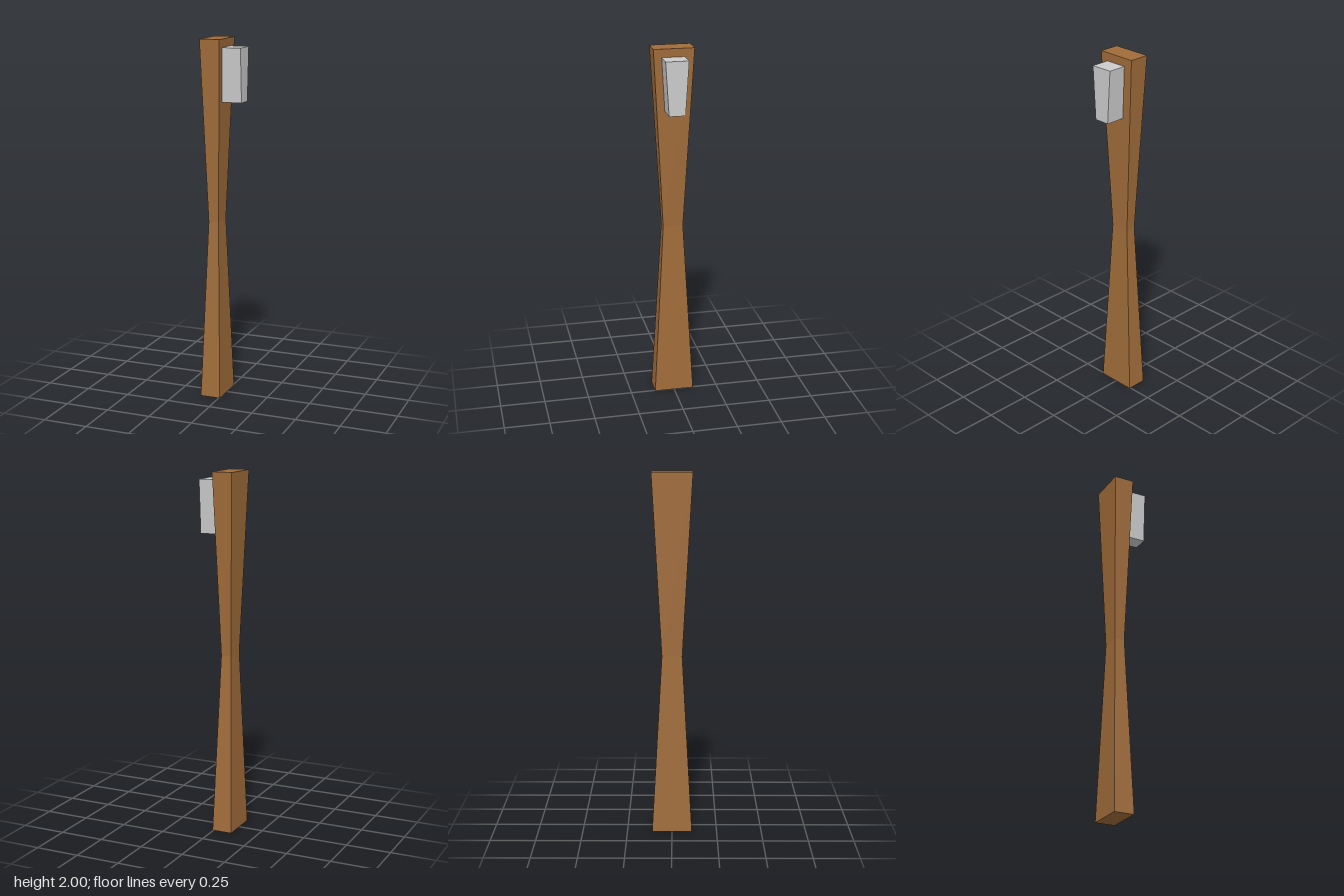
import * as THREE from 'three';

// Scale each ring of a box in x and z by a rule of its height t (-0.5 bottom to 0.5 top)
function taperedBox(name, size, center, segments, scaleAt, color) {
  const geometry = new THREE.BoxGeometry(...size, 1, segments, 1);
  const pos = geometry.attributes.position;
  for (let i = 0; i < pos.count; i++) {
    const [sx, sz] = scaleAt(pos.getY(i) / size[1]);
    pos.setX(i, pos.getX(i) * sx);
    pos.setZ(i, pos.getZ(i) * sz);
  }
  geometry.translate(...center);
  geometry.computeVertexNormals();
  const mesh = new THREE.Mesh(geometry, new THREE.MeshStandardMaterial({ color, flatShading: true }));
  mesh.name = name;
  return mesh;
}

export function createModel() {
  const model = new THREE.Group();
  model.name = 'postWithBlock';

  // Wooden post, pinched to half its width at mid height
  const pinch = (t) => {
    const s = 0.5 + Math.abs(t);
    return [s, s];
  };
  model.add(taperedBox('post', [0.114, 2, 0.222], [-0.051, 1, 0], 2, pinch, 0xa06c3a));

  // Grey block on the post's left side, narrower in z toward its bottom
  const narrow = (t) => [1, 0.855 + 0.29 * t];
  model.add(taperedBox('sideBlock', [0.114, 0.293, 0.125], [0.051, 1.808, 0.004], 1, narrow, 0xcccccc));

  return model;
}
